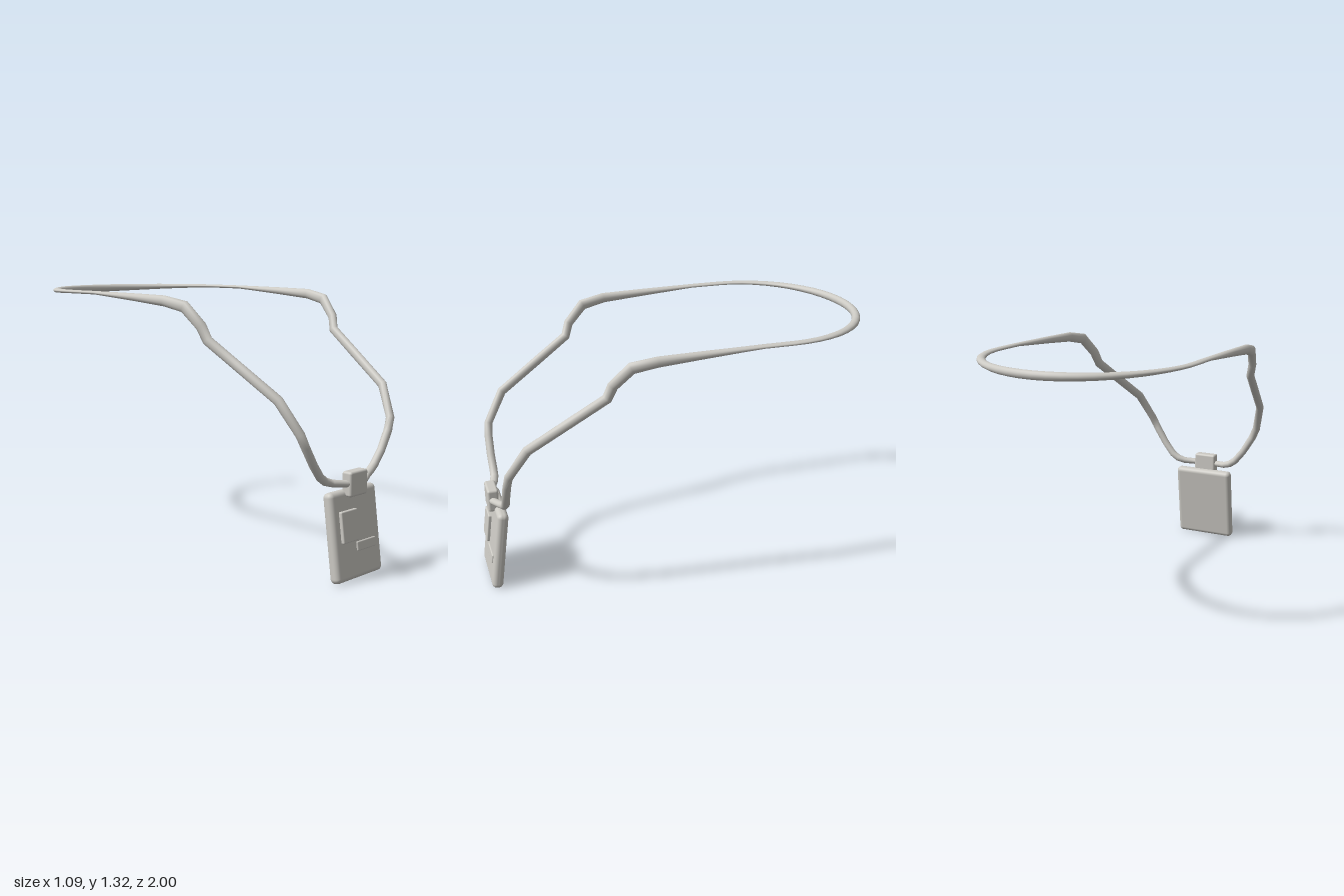
import * as THREE from 'three';
import { RoundedBoxGeometry } from 'three/addons/geometries/RoundedBoxGeometry.js';

const grey = new THREE.MeshStandardMaterial({ color: 0xcccac4 });
grey.name = 'warmGrey';

function block(name, w, h, d, r, x, y, z) {
  const m = new THREE.Mesh(new RoundedBoxGeometry(w, h, d, 4, r), grey);
  m.name = name;
  m.position.set(x, y, z);
  return m;
}

// Closed band: elliptical sections swept along half a path and its mirror image
function strapGeometry() {
  // x, y, z, half thickness
  const half = [
    [0, 0.463, 0.95, 0.017], [0.07, 0.463, 0.948, 0.017], [0.13, 0.47, 0.918, 0.018],
    [0.17, 0.483, 0.908, 0.02], [0.205, 0.508, 0.906, 0.02], [0.255, 0.57, 0.908, 0.02],
    [0.31, 0.66, 0.906, 0.021], [0.338, 0.72, 0.898, 0.022], [0.388, 0.87, 0.81, 0.024],
    [0.43, 1.01, 0.6, 0.024], [0.462, 1.118, 0.438, 0.025], [0.48, 1.183, 0.415, 0.026],
    [0.505, 1.27, 0.33, 0.029], [0.522, 1.293, 0.21, 0.026], [0.524, 1.303, 0, 0.019],
    [0.526, 1.315, -0.3, 0.009],
  ].map(([x, y, z, b]) => ({ p: new THREE.Vector3(x, y, z), b }));
  // Half circle behind the neck
  for (let i = 0; i <= 12; i++) {
    const a = (i / 12) * Math.PI / 2, s = Math.sin(a);
    const b = 0.009 + 0.012 * s * s;
    half.push({ p: new THREE.Vector3(0.526 * Math.cos(a), 1.324 - b, -0.453 - 0.526 * s), b });
  }
  const mirrored = half.slice(1, -1).reverse()
    .map(({ p, b }) => ({ p: new THREE.Vector3(-p.x, p.y, p.z), b }));
  const path = half.concat(mirrored), n = path.length, sides = 16;
  const up = new THREE.Vector3(0, 1, 0), pos = [], index = [];
  path.forEach(({ p, b }, i) => {
    const before = p.clone().sub(path[(i + n - 1) % n].p).normalize();
    const t = path[(i + 1) % n].p.clone().sub(p).normalize().add(before).normalize();
    const side = up.clone().cross(t).normalize();
    const normal = t.clone().cross(side);
    for (let j = 0; j < sides; j++) {
      const a = (j / sides) * Math.PI * 2;
      const v = p.clone().addScaledVector(side, 0.021 * Math.cos(a)).addScaledVector(normal, b * Math.sin(a));
      pos.push(v.x, v.y, v.z);
      const k = (j + 1) % sides, r = i * sides, q = ((i + 1) % n) * sides;
      index.push(r + j, r + k, q + k, r + j, q + k, q + j);
    }
  });
  const g = new THREE.BufferGeometry();
  g.setAttribute('position', new THREE.Float32BufferAttribute(pos, 3));
  g.setIndex(index);
  g.computeVertexNormals();
  return g;
}

export function createModel() {
  const model = new THREE.Group();
  model.name = 'lanyardBadge';

  const strap = new THREE.Mesh(strapGeometry(), grey);
  strap.name = 'neckStrap';
  model.add(strap);

  model.add(block('clip', 0.13, 0.12, 0.056, 0.012, 0, 0.459, 0.948));

  // Card leaning back, with raised photo panel and name bar
  const badge = new THREE.Group();
  badge.name = 'badge';
  badge.position.set(0, 0.217, 0.944);
  badge.rotation.x = -0.135;
  badge.add(block('card', 0.346, 0.426, 0.057, 0.024, 0, 0, 0));
  badge.add(block('photoPanel', 0.119, 0.149, 0.04, 0.006, -0.0665, 0.045, 0.025));
  badge.add(block('nameBar', 0.143, 0.046, 0.02, 0.006, 0.054, -0.062, 0.0255));
  model.add(badge);

  return model;
}
